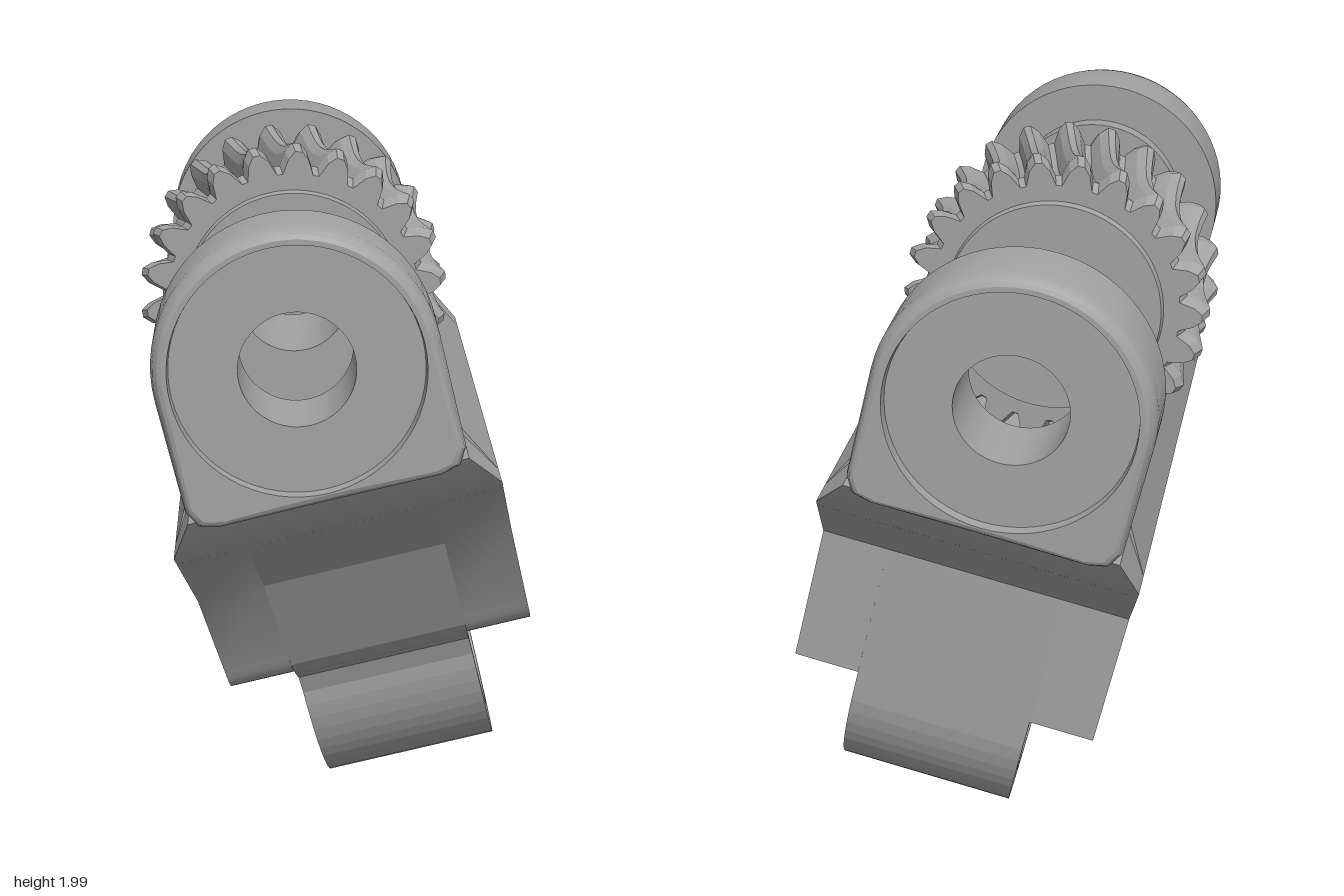
import * as THREE from 'three';
import { mergeVertices, toCreasedNormals } from 'three/addons/utils/BufferGeometryUtils.js';

const steel = new THREE.MeshStandardMaterial({ color: 0xa2a2a2 });
steel.name = 'grey metal';

const AXLE = 0.15; // axle bore radius

function part(name, geometry, crease = 0.4) {
  const mesh = new THREE.Mesh(toCreasedNormals(geometry, crease), steel);
  mesh.name = name;
  return mesh;
}

// Closed skin through a list of loops, where each loop is points [x, y, z]
function skin(loops) {
  const n = loops[0].length, m = loops.length, index = [];
  for (let i = 0; i < m; i++) {
    for (let j = 0; j < n; j++) {
      const i2 = (i + 1) % m, j2 = (j + 1) % n;
      const a = i * n + j, b = i * n + j2, c = i2 * n + j2, d = i2 * n + j;
      index.push(a, b, c, a, c, d);
    }
  }
  const g = new THREE.BufferGeometry();
  g.setAttribute('position', new THREE.Float32BufferAttribute(loops.flat(2), 3));
  g.setIndex(index);
  return mergeVertices(g);
}

// Loop around the z axis with radius given by angle
const loop = (n, z, radius, twist = 0) => Array.from({ length: n }, (_, j) => {
  const a = (j / n) * Math.PI * 2, r = radius(a, j);
  return [r * Math.cos(a + twist), r * Math.sin(a + twist), z];
});

function shapeOf(points) {
  return new THREE.Shape(points.map(([x, y]) => new THREE.Vector2(x, y)));
}

function hole(shape, x, y, r) {
  shape.holes.push(new THREE.Path().absarc(x, y, r, 0, Math.PI * 2, true));
  return shape;
}

// Extrude along z from z0 to z1
function alongZ(shape, z0, z1, curveSegments = 16) {
  return new THREE.ExtrudeGeometry(shape, { depth: z1 - z0, bevelEnabled: false, curveSegments })
    .translate(0, 0, z0);
}

// Extrude a side profile (z, y) along x from x0 to x1
function alongX(shape, x0, x1, curveSegments = 14) {
  return new THREE.ExtrudeGeometry(shape, { depth: x1 - x0, bevelEnabled: false, curveSegments })
    .rotateY(-Math.PI / 2).translate(x1, 0, 0);
}

// Upright arm with rounded edge, shallow outer recess, axle bore and inner boss
function armGeometry() {
  const n = 64;
  const outline = (inset) => (a) => {
    const c = Math.abs(Math.cos(a)), s = Math.sin(a);
    const r = s >= 0 ? 0.37 : Math.min(0.37 / Math.max(c, 1e-4), 0.36 / -s, 0.49);
    return r - inset;
  };
  const circle = (r) => () => r;
  return skin([
    loop(n, 0.73, outline(0)), loop(n, 0.9, outline(0)),
    loop(n, 0.925, outline(0.006)), loop(n, 0.94, outline(0.017)), loop(n, 0.945, outline(0.028)),
    loop(n, 0.945, circle(0.328)), loop(n, 0.915, circle(0.325)),
    loop(n, 0.915, circle(AXLE)), loop(n, 0.68, circle(AXLE)),
    loop(n, 0.68, circle(0.26)), loop(n, 0.73, circle(0.26)),
  ]);
}

// Sloping block that carries an arm
function shoulderGeometry() {
  const g = alongZ(shapeOf([[-0.44, -0.47], [0.44, -0.47], [0.44, -0.445],
    [0.37, -0.33], [-0.37, -0.33], [-0.44, -0.445]]), 0.73, 0.945);
  const p = g.attributes.position;
  for (let i = 0; i < p.count; i++) {
    const limit = 0.945 + 1.16 * (p.getY(i) + 0.35);
    p.setZ(i, Math.min(p.getZ(i), limit, 0.925));
  }
  return g;
}

// Trough section with a round floor of the given radius
function troughShape(r) {
  const rim = -0.267, a = Math.asin(-rim / r);
  const s = new THREE.Shape();
  s.moveTo(-0.44, -0.47);
  [[0.44, -0.47], [0.44, -0.445], [0.37, -0.31], [0.37, rim]].forEach(([x, y]) => s.lineTo(x, y));
  s.absarc(0, 0, r, -a, -Math.PI + a, true);
  [[-0.37, rim], [-0.37, -0.31], [-0.44, -0.445]].forEach(([x, y]) => s.lineTo(x, y));
  return s;
}

// Side cheek: straight flanks, an arch over the ring and a lobe around the pin hole
function cheekShape() {
  const s = new THREE.Shape();
  s.moveTo(-0.806, -0.47);
  s.lineTo(-0.555, -0.68);
  s.lineTo(-0.555, -1.09);
  s.splineThru([[-0.5, -1.045], [-0.4, -0.925], [-0.26, -0.82], [-0.13, -0.785], [0, -0.8],
    [0.12, -0.865], [0.19, -0.965], [0.25, -1.02], [0.32, -1.04], [0.385, -1.01], [0.425, -0.945]]
    .map(([x, y]) => new THREE.Vector2(x, y)));
  s.lineTo(0.58, -0.67);
  s.lineTo(0.806, -0.47);
  return hole(s, 0.325, -0.83, 0.075);
}

// Middle web and the ring below it
function ringShape() {
  const s = new THREE.Shape();
  s.moveTo(-0.806, -0.47);
  s.lineTo(-0.555, -0.68);
  s.absarc(-0.15, -1.145, 0.403, Math.PI, Math.PI * 2, false);
  [[0.275, -1.085], [0.34, -1.045], [0.4, -0.99], [0.58, -0.67], [0.806, -0.47]]
    .forEach(([x, y]) => s.lineTo(x, y));
  hole(s, 0.325, -0.83, 0.075);
  return hole(s, -0.147, -1.15, 0.315);
}

// Throated worm wheel with twisted teeth and a raised hub
function wormWheelGeometry() {
  const teeth = 22, steps = 6, n = teeth * steps;
  const depth = [0, 0.35, 1, 1, 0.35, 0]; // 0 is the tip, 1 the root
  const rows = [[-0.18, 0.412], [-0.145, 0.43], [-0.1, 0.415], [-0.05, 0.403], [0, 0.399],
    [0.05, 0.403], [0.1, 0.415], [0.145, 0.43], [0.18, 0.412]];
  const loops = rows.map(([z, tip]) =>
    loop(n, z, (a, j) => tip - 0.062 * depth[j % steps], -0.6 * z));
  const end = (z, r) => loop(n, z, () => r, -0.6 * Math.sign(z) * 0.18);
  loops.push(end(0.18, 0.305), end(0.2, 0.3), end(0.2, AXLE));
  loops.push(end(-0.2, AXLE), end(-0.2, 0.3), end(-0.18, 0.305));
  return skin(loops);
}

export function createModel() {
  const model = new THREE.Group();
  model.name = 'worm wheel bracket';
  const bracket = new THREE.Group();
  bracket.name = 'tilted bracket';
  model.add(bracket);

  // Arms and shoulders at both ends
  for (const [side, turn] of [['front', 0], ['back', Math.PI]]) {
    const end = new THREE.Group();
    end.name = side + 'End';
    end.add(part('arm', armGeometry()), part('shoulder', shoulderGeometry()));
    end.rotation.y = turn;
    bracket.add(end);
  }

  // Trough, cut wider around the wheel
  bracket.add(part('frontTrough', alongZ(troughShape(0.397), 0.2, 0.73)));
  bracket.add(part('wheelTrough', alongZ(troughShape(0.45), -0.2, 0.2)));
  bracket.add(part('backTrough', alongZ(troughShape(0.397), -0.73, -0.2)));

  // Lower body
  bracket.add(part('leftCheek', alongX(cheekShape(), 0.254, 0.44, 4)));
  bracket.add(part('rightCheek', alongX(cheekShape(), -0.44, -0.254, 4)));
  bracket.add(part('webAndRing', alongX(ringShape(), -0.254, 0.254), 0.1));

  // Stepped lip inside the ring
  for (const [name, r, half] of [['ringStep', 0.292, 0.12], ['ringLip', 0.226, 0.02]]) {
    const washer = new THREE.Shape().absarc(-0.147, -1.15, 0.33, 0, Math.PI * 2, false);
    bracket.add(part(name, alongX(hole(washer, -0.147, -1.15, r), -half, half, 12)));
  }

  bracket.add(part('wormWheel', wormWheelGeometry(), 0.3));

  bracket.rotation.z = THREE.MathUtils.degToRad(13.5);
  bracket.position.set(-0.125, 1.57, 0);
  return model;
}
